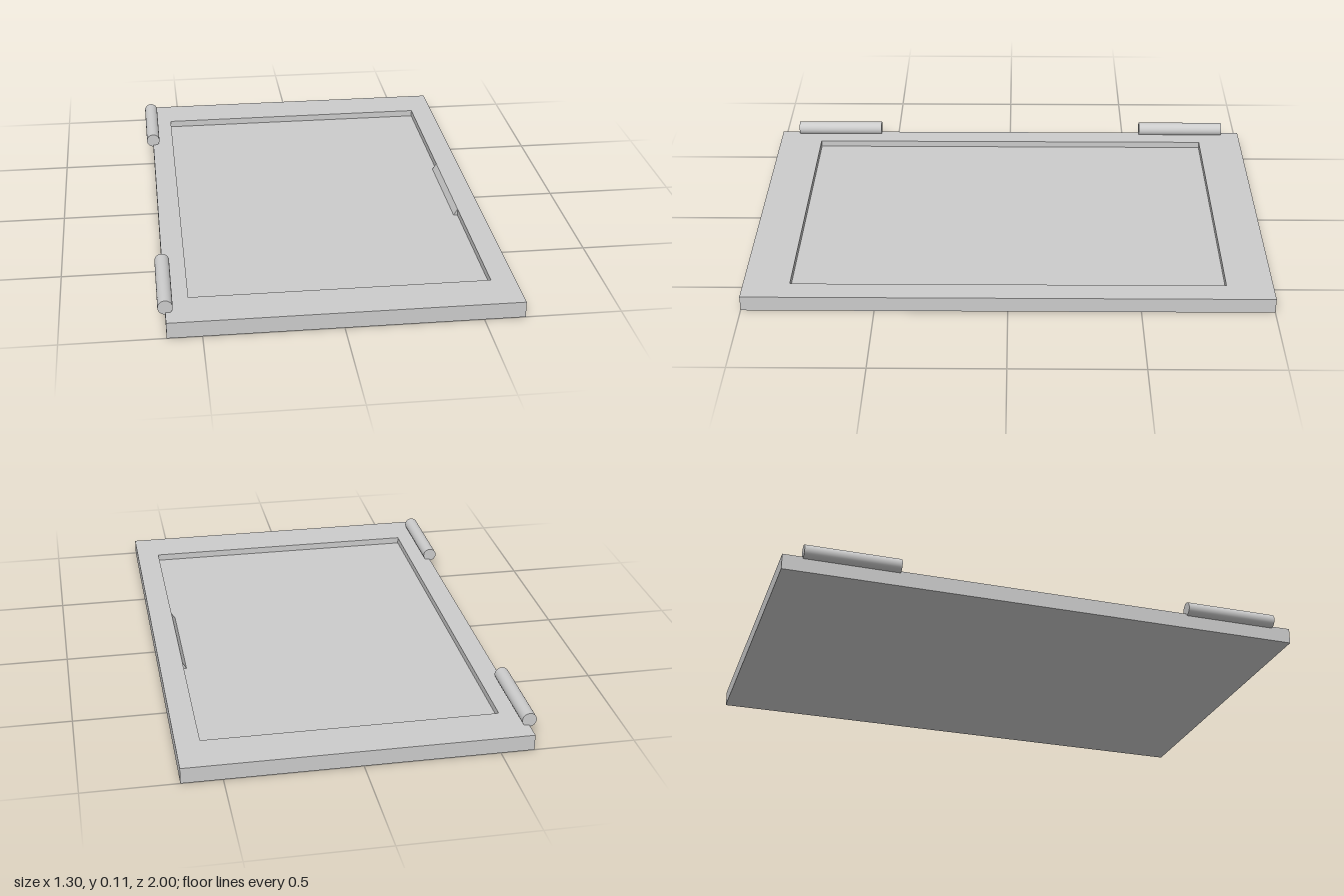
import * as THREE from 'three';

export function createModel() {
  const model = new THREE.Group();
  const material = new THREE.MeshStandardMaterial({ color: 0xcccccc });
  const add = (name, geometry, x = 0, y = 0, z = 0) => {
    const mesh = new THREE.Mesh(geometry, material);
    mesh.name = name;
    mesh.position.set(x, y, z);
    model.add(mesh);
    return mesh;
  };
  const corners = (x0, x1, z) => [[x0, -z], [x1, -z], [x1, z], [x0, z]].map(([x, y]) => new THREE.Vector2(x, y));

  const top = 0.06, floor = 0.034;

  // Raised frame around the recess, with the panel filling its opening
  const outline = new THREE.Shape(corners(-0.625, 0.65, 1));
  outline.holes.push(new THREE.Path(corners(-0.54, 0.56, 0.823).reverse()));
  const frame = new THREE.ExtrudeGeometry(outline, { depth: top, bevelEnabled: false });
  frame.rotateX(-Math.PI / 2);
  add('frame', frame);
  add('recessedPanel', new THREE.BoxGeometry(1.1, floor, 1.646), 0.01, floor / 2, 0);

  // Sloped finger grip against the recess wall
  const wedge = new THREE.Shape([
    new THREE.Vector2(0.545, floor),
    new THREE.Vector2(0.56, floor),
    new THREE.Vector2(0.56, top),
  ]);
  add('fingerGrip', new THREE.ExtrudeGeometry(wedge, { depth: 0.45, bevelEnabled: false }), 0, 0, -0.225);

  // Hinge barrels along the side edge
  const barrel = new THREE.CylinderGeometry(0.027, 0.027, 0.36, 32);
  barrel.rotateX(Math.PI / 2);
  for (const [name, side] of [['frontHinge', 1], ['backHinge', -1]]) {
    add(name, barrel, -0.625, 0.08, side * 0.745);
  }
  return model;
}
